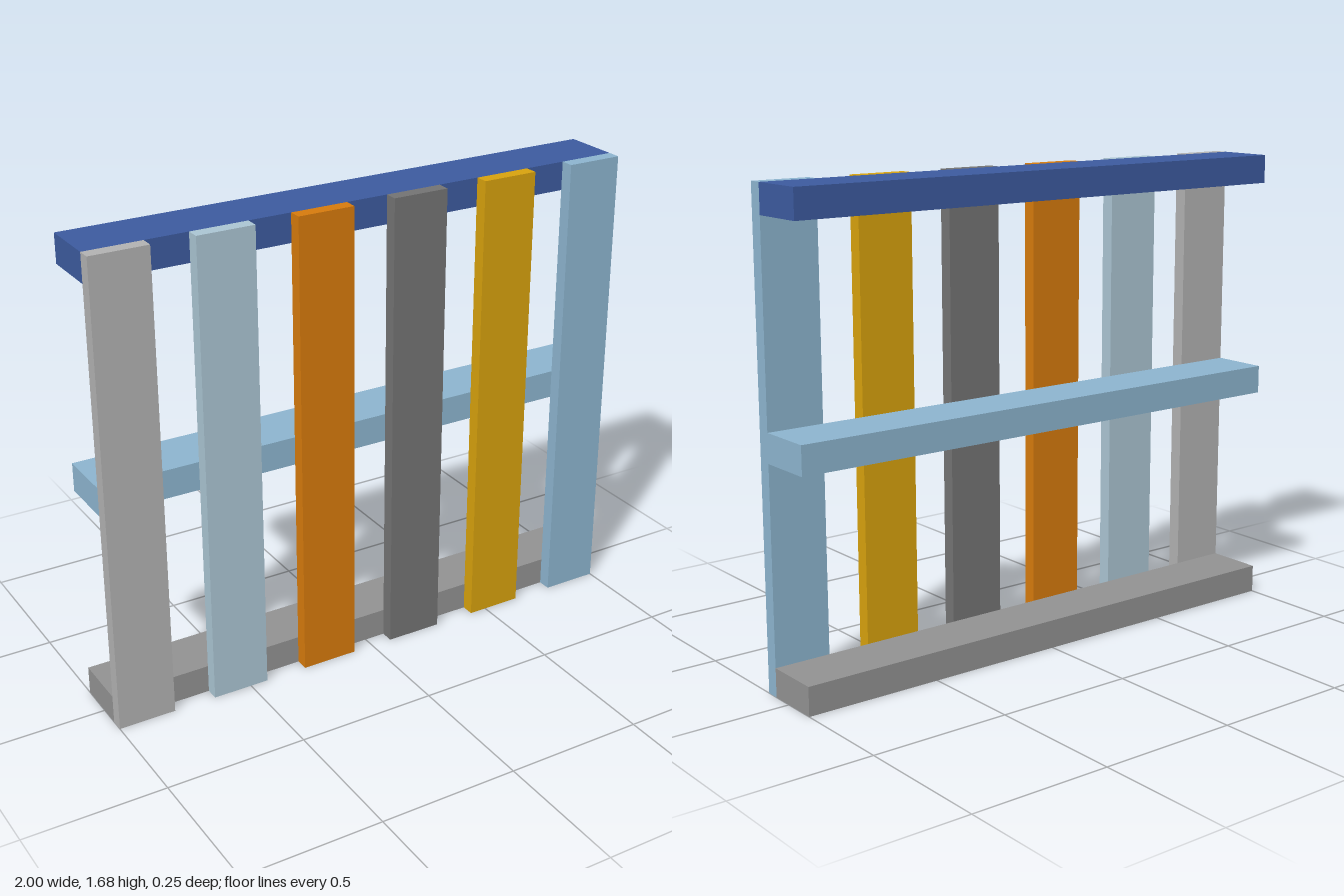
import * as THREE from 'three';

const HEIGHT = 1.685, DEPTH = 0.254;
const SLAT_W = 0.206, SLAT_D = 0.048;
const RAIL_H = 0.102, RAIL_D = DEPTH - SLAT_D;

function board(name, color, size, position) {
  const mesh = new THREE.Mesh(
    new THREE.BoxGeometry(...size),
    new THREE.MeshStandardMaterial({ color })
  );
  mesh.name = name;
  mesh.position.set(...position);
  return mesh;
}

export function createModel() {
  const model = new THREE.Group();
  model.name = 'slattedPallet';

  // Three horizontal rails at the back
  const rails = [
    ['bottomRail', 0x919191, RAIL_H / 2],
    ['middleRail', 0x8cb4ce, HEIGHT / 2],
    ['topRail', 0x3c5a9e, HEIGHT - RAIL_H / 2],
  ];
  for (const [name, color, y] of rails) {
    model.add(board(name, color, [2, RAIL_H, RAIL_D], [0, y, -SLAT_D / 2]));
  }

  // Six upright slats across the front, evenly spaced from right to left
  const slatColors = [0xb1b1b1, 0xaac4d2, 0xd67a0c, 0x737373, 0xd7a10d, 0x8cb4ce];
  const step = (2 - SLAT_W) / (slatColors.length - 1);
  slatColors.forEach((color, i) => {
    const x = -1 + SLAT_W / 2 + i * step;
    model.add(board(`slat${i + 1}`, color, [SLAT_W, HEIGHT, SLAT_D], [x, HEIGHT / 2, (DEPTH - SLAT_D) / 2]));
  });

  return model;
}
